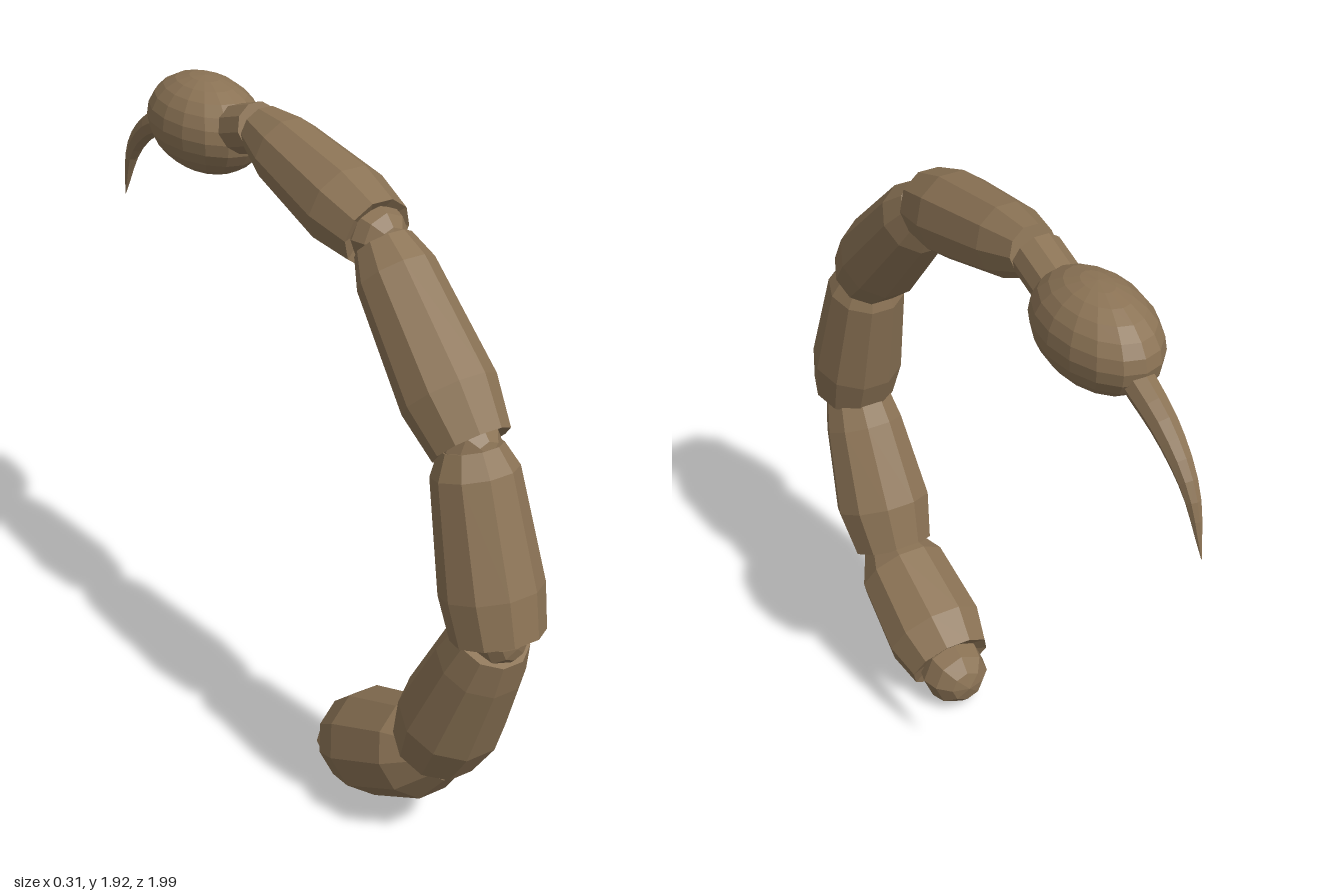
import * as THREE from 'three';

const SIDES = 10;

export function createModel() {
  const group = new THREE.Group();
  group.name = 'segmentedTail';
  const shell = new THREE.MeshStandardMaterial({ color: 0x8b7355, flatShading: true });
  shell.name = 'brown shell';

  const add = (name, geometry, x, y, z) => {
    const mesh = new THREE.Mesh(geometry, shell);
    mesh.name = name;
    mesh.position.set(x, y, z);
    group.add(mesh);
    return mesh;
  };

  // Faceted barrel between two [z, y] points; rings are [fraction of length, radius]
  const barrel = (name, from, to, rings, dish) => {
    const dz = to[0] - from[0], dy = to[1] - from[1];
    const length = Math.hypot(dz, dy);
    const profile = [
      new THREE.Vector2(0, dish),
      ...rings.map(([t, r]) => new THREE.Vector2(r, t * length)),
      new THREE.Vector2(0, length),
    ];
    const geometry = new THREE.LatheGeometry(profile, SIDES, Math.PI / SIDES);
    add(name, geometry, 0, from[1], from[0]).rotation.x = Math.atan2(dz, dy);
  };

  // Tail segments: wide dished end first, tapering to the next joint
  const segments = [
    { from: [0.265, 0.13], to: [0.68, 0.335], rings: [[0, 0.13], [0.23, 0.157], [0.74, 0.142], [1, 0.08]] },
    { from: [0.645, 0.347], to: [0.86, 0.805], rings: [[0, 0.125], [0.28, 0.15], [0.8, 0.122], [1, 0.1]] },
    { from: [0.88, 0.822], to: [0.74, 1.305], rings: [[0, 0.125], [0.25, 0.138], [0.87, 0.115], [1, 0.083]] },
    { from: [0.74, 1.307], to: [0.35, 1.71], rings: [[0, 0.107], [0.25, 0.13], [0.85, 0.108], [1, 0.08]] },
    { from: [0.325, 1.73], to: [-0.21, 1.85], rings: [[0, 0.1], [0.25, 0.12], [0.78, 0.1], [1, 0.07]] },
  ];
  segments.forEach(({ from, to, rings }, i) => {
    barrel(`tailSegment${i + 1}`, from, to, rings, 0.04);
    // Ball joint seated in the wide end
    const ball = new THREE.SphereGeometry(i ? 0.08 : 0.105, 8, 6);
    const offset = i ? 0 : -0.02;
    add(`ballJoint${i + 1}`, ball, 0, from[1] + offset, from[0] + offset).rotation.x = Math.PI / 2;
  });

  // Short neck leading into the bulb
  barrel('neck', [-0.225, 1.85], [-0.36, 1.805], [[0, 0.07], [1, 0.07]], 0);

  // Venom bulb
  const bulb = new THREE.SphereGeometry(1, 16, 12).scale(0.14, 0.138, 0.225);
  add('bulb', bulb, 0, 1.783, -0.508);

  // Curved stinger: a tube whose rings shrink towards the tip
  const path = new THREE.CatmullRomCurve3([
    [-0.68, 1.75], [-0.83, 1.675], [-0.935, 1.572], [-0.997, 1.41],
  ].map(([z, y]) => new THREE.Vector3(0, y, z)));
  const steps = 10, radial = 8;
  const stinger = new THREE.TubeGeometry(path, steps, 0.044, radial);
  const position = stinger.attributes.position;
  const vertex = new THREE.Vector3();
  for (let i = 0; i < position.count; i++) {
    const t = Math.floor(i / (radial + 1)) / steps;
    const centre = path.getPointAt(t);
    vertex.fromBufferAttribute(position, i).sub(centre).multiplyScalar(1 - 0.3 * t - 0.68 * t * t).add(centre);
    position.setXYZ(i, vertex.x, vertex.y, vertex.z);
  }
  stinger.computeVertexNormals();
  add('stinger', stinger, 0, 0, 0);

  return group;
}
